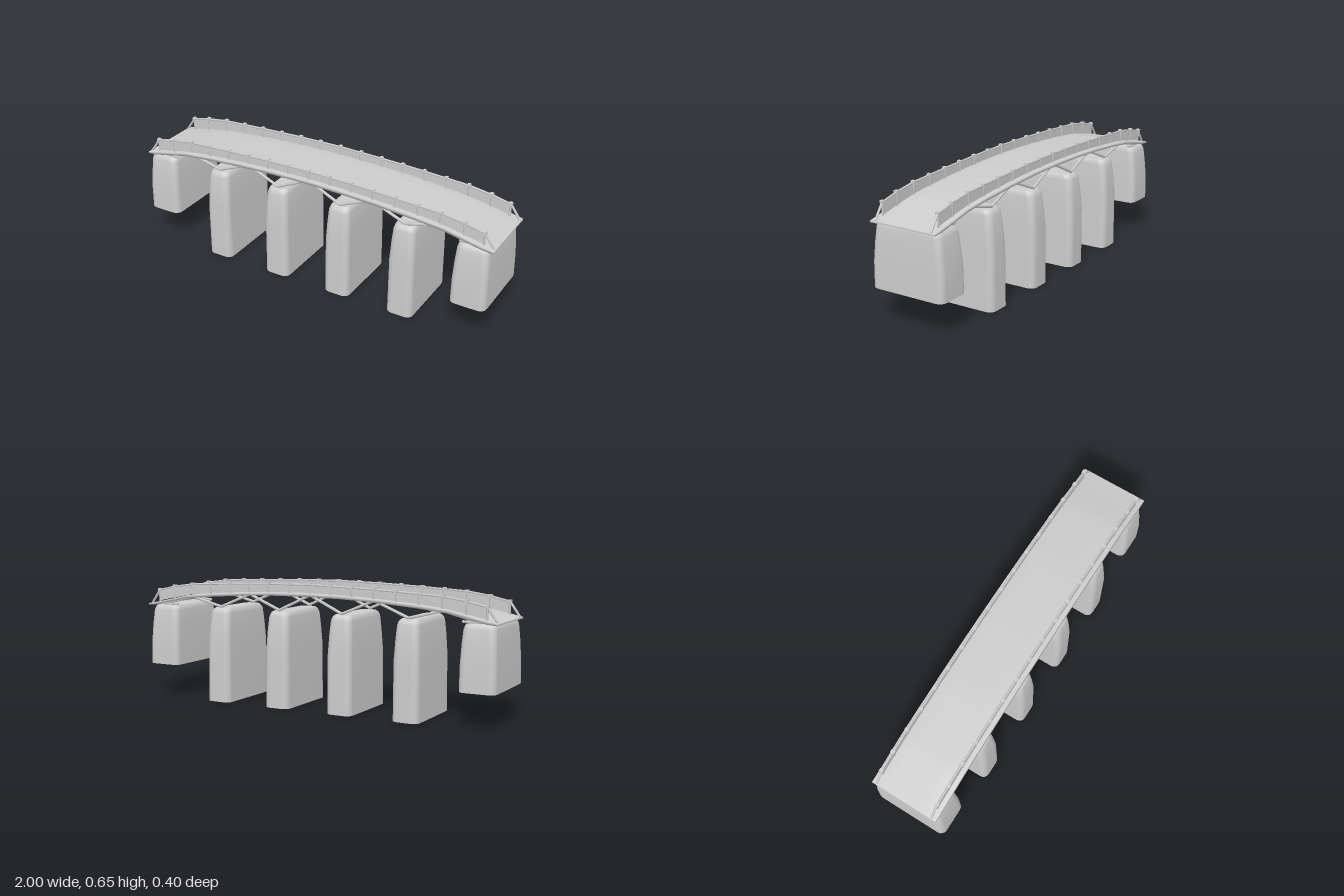
import * as THREE from 'three';

const stone = new THREE.MeshStandardMaterial({ color: 0xcccccc, side: THREE.DoubleSide });
stone.name = 'plain grey';

// Piecewise-linear lookup that is symmetric in x
function heightAt(table, x) {
  const a = Math.abs(x);
  for (let i = 1; i < table.length; i++) {
    const [x0, y0] = table[i - 1], [x1, y1] = table[i];
    if (a <= x1) return y0 + (y1 - y0) * (a - x0) / (x1 - x0);
  }
  return table[table.length - 1][1];
}
const DECK = [[0, 0.596], [0.2, 0.593], [0.4, 0.584], [0.6, 0.569], [0.75, 0.554], [0.9, 0.522], [1, 0.502]];
const RAIL = [[0, 0.642], [0.24, 0.638], [0.48, 0.629], [0.72, 0.617], [0.84, 0.6], [0.95, 0.575]];
const deckY = x => heightAt(DECK, x);
const railY = x => heightAt(RAIL, x);
const RAIL_Z = 0.156;

// Skin a list of equal rings; optionally close the first and last ring
function loft(rings, capStart, capEnd) {
  const n = rings[0].length, pos = [], idx = [];
  rings.forEach(r => r.forEach(p => pos.push(...p)));
  for (let i = 0; i + 1 < rings.length; i++) {
    for (let j = 0; j < n; j++) {
      const k = (j + 1) % n, a = i * n + j, b = i * n + k;
      idx.push(a, a + n, b, b, a + n, b + n);
    }
  }
  const cap = (ring, flip) => {
    const base = pos.length / 3;
    ring.forEach(p => pos.push(...p));
    pos.push(...[0, 1, 2].map(c => ring.reduce((s, p) => s + p[c], 0) / n));
    for (let j = 0; j < n; j++) {
      const a = base + j, b = base + (j + 1) % n;
      idx.push(base + n, flip ? b : a, flip ? a : b);
    }
  };
  if (capStart) cap(rings[0], false);
  if (capEnd) cap(rings[rings.length - 1], true);
  const g = new THREE.BufferGeometry();
  g.setAttribute('position', new THREE.Float32BufferAttribute(pos, 3));
  g.setIndex(idx);
  g.computeVertexNormals();
  return g;
}

// Horizontal rounded rectangle at height y
function roundedRing(y, hx, hz, r) {
  const ring = [];
  [[1, 1], [-1, 1], [-1, -1], [1, -1]].forEach(([sx, sz], q) => {
    for (let i = 0; i <= 4; i++) {
      const a = (q + i / 4) * Math.PI / 2;
      ring.push([sx * (hx - r) + r * Math.cos(a), y, sz * (hz - r) + r * Math.sin(a)]);
    }
  });
  return ring;
}

function add(parent, geometry, name) {
  const m = new THREE.Mesh(geometry, stone);
  m.name = name;
  parent.add(m);
  return m;
}

// Straight bar between two points
function bar(parent, from, to, r, name) {
  const a = new THREE.Vector3(...from), b = new THREE.Vector3(...to);
  const m = add(parent, new THREE.CylinderGeometry(r, r, a.distanceTo(b), 6), name);
  m.position.copy(a).add(b).multiplyScalar(0.5);
  m.quaternion.setFromUnitVectors(new THREE.Vector3(0, 1, 0), b.sub(a).normalize());
  return m;
}

function pier(parent, x, base, half, name) {
  const rings = [
    [base, half, 0.2], [0.3, half - 0.002, 0.2], [0.4, half - 0.006, 0.191],
    [0.47, half - 0.011, 0.183], [0.488, half - 0.016, 0.174], [0.498, half - 0.024, 0.163],
  ].map(([y, hx, hz]) => roundedRing(y, hx, hz, 0.033));
  add(parent, loft(rings, false, true), name).position.x = x;
}

export function createModel() {
  const bridge = new THREE.Group();
  bridge.name = 'bridge';

  // Piers and the shorter end abutments, open underneath
  const pierX = [-0.545, -0.183, 0.178, 0.537];
  pierX.forEach(x => pier(bridge, x, 0, 0.07, 'pier'));
  pier(bridge, -0.907, 0.175, 0.093, 'abutment');
  pier(bridge, 0.893, 0.175, 0.093, 'abutment');

  // Arched deck with softly shaded edges
  const rings = [];
  for (let i = 0; i <= 40; i++) {
    const x = -1 + i / 20, y = deckY(x), b = y - (Math.abs(x) > 0.95 ? 0.008 : 0.014);
    rings.push([[x, y, 0.18], [x, y, 0.09], [x, y, -0.09], [x, y, -0.18],
      [x, b, -0.183], [x, b, -0.09], [x, b, 0.09], [x, b, 0.183]]);
  }
  add(bridge, loft(rings, true, true), 'deck');

  const postX = [0, 0.12, 0.24, 0.36, 0.48, 0.6, 0.72, 0.84, 0.94];
  const allX = [...postX.slice(1).reverse().map(x => -x), ...postX];

  for (const s of [1, -1]) {
    const z = s * RAIL_Z;
    const railing = new THREE.Group();
    railing.name = s > 0 ? 'frontRailing' : 'backRailing';
    bridge.add(railing);

    // Thin infill panel following the arch
    const panel = allX.map(x => {
      const t = railY(x) - 0.004, b = deckY(x) + 0.004;
      return [[x, t, z + 0.003], [x, t, z - 0.003], [x, b, z - 0.003], [x, b, z + 0.003]];
    });
    add(railing, loft(panel, true, true).toNonIndexed(), 'railPanel').geometry.computeVertexNormals();

    // Posts with small caps, and the handrail between them
    allX.forEach((x, i) => {
      bar(railing, [x, deckY(x) - 0.012, z], [x, railY(x) + 0.002, z], 0.006, 'post');
      const knob = add(railing, new THREE.BoxGeometry(0.017, 0.012, 0.02), 'postCap');
      knob.position.set(x, railY(x) + 0.001, z);
      if (i > 0) {
        const p = allX[i - 1];
        bar(railing, [p, railY(p) - 0.002, z], [x, railY(x) - 0.002, z], 0.0055, 'handrail');
      }
    });

    // Raking end posts
    for (const e of [1, -1]) {
      bar(railing, [e * 0.992, 0.504, z], [e * 0.94, railY(0.94), z], 0.006, 'endPost');
    }

    // V-shaped struts from the pier tops to the deck
    for (const x of pierX) {
      for (const d of [0.17, -0.17]) {
        bar(bridge, [x, 0.504, z], [x + d, deckY(x + d) - 0.012, z], 0.0075, 'strut');
      }
    }
    for (const e of [1, -1]) {
      bar(bridge, [e * 0.91, 0.502, z], [e * 0.73, deckY(0.73) - 0.01, z], 0.0075, 'endStrut');
      bar(bridge, [e * 0.99, 0.501, z], [e * 0.82, 0.503, z], 0.007, 'bearingBar');
    }
  }
  return bridge;
}
